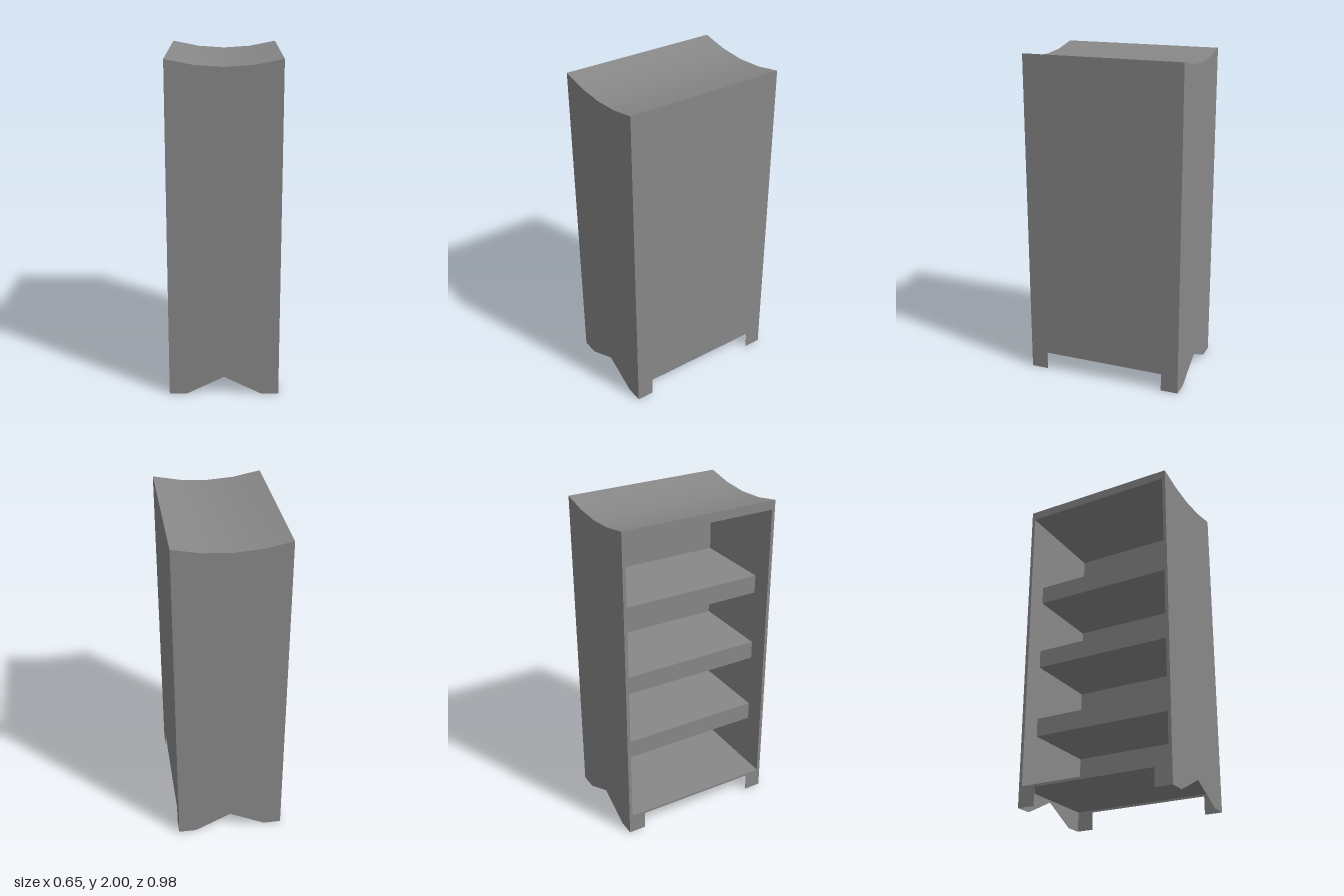
import * as THREE from 'three';
import { toCreasedNormals } from 'three/addons/utils/BufferGeometryUtils.js';

const W = 0.327, D = 0.49;                      // half width, half depth
const SKIN = 0.003, WALL = 0.02;                // thin outer sheet, full wall above the floor
const FLOOR = 0.125, CEIL = 1.945, FOOT = 0.11; // inner floor, inner ceiling, foot height

const material = new THREE.MeshStandardMaterial({ color: 0x888888 });

function add(group, name, geometry) {
  const mesh = new THREE.Mesh(geometry, material);
  mesh.name = name;
  group.add(mesh);
  return mesh;
}

function extrude(points, depth) {
  const shape = new THREE.Shape(points.map(([x, y]) => new THREE.Vector2(x, y)));
  return new THREE.ExtrudeGeometry(shape, { depth, bevelEnabled: false });
}

function box(x0, x1, y0, y1, z0, z1) {
  return new THREE.BoxGeometry(x1 - x0, y1 - y0, z1 - z0)
    .translate((x0 + x1) / 2, (y0 + y1) / 2, (z0 + z1) / 2);
}

// Sagging top line, from +x to -x in four straight segments
function topLine() {
  const points = [];
  for (let i = 0; i <= 4; i++) {
    const u = 1 - i / 2;
    points.push([u * W, 1.957 + 0.043 * u * u]);
  }
  return points;
}

// Long side sheet standing on two feet; its ends butt against the end sheets
function sideGeometry(top) {
  const e = D - SKIN, n = 0.383;
  return extrude([[-e, 0], [-n, 0], [-n, FOOT], [n, FOOT], [n, 0], [e, 0], [e, top], [-e, top]], SKIN)
    .rotateY(-Math.PI / 2);
}

export function createModel() {
  const group = new THREE.Group();
  group.name = 'bookcase';
  const skinX = W - SKIN, skinZ = D - SKIN, inX = W - WALL, inZ = D - WALL;
  const under = FLOOR - SKIN;

  // End sheets with a sagging top and a pointed cut-out between the feet
  const endOutline = [[-W, 0], [-0.22, 0], [0, FOOT], [0.22, 0], [W, 0], ...topLine()];
  add(group, 'frontPanel', extrude(endOutline, SKIN)).position.z = skinZ;
  add(group, 'backPanel', extrude(endOutline, SKIN)).position.z = -D;

  // Closed long side, and the low footed rail under the open side
  add(group, 'closedSide', sideGeometry(CEIL)).position.x = W;
  add(group, 'openSideRail', sideGeometry(FLOOR)).position.x = -skinX;

  // Inner walls, which end flush with the open side
  add(group, 'frontWall', box(-W, skinX, FLOOR, CEIL, inZ, skinZ));
  add(group, 'backWall', box(-W, skinX, FLOOR, CEIL, -skinZ, -inZ));
  add(group, 'closedSideWall', box(inX, skinX, FLOOR, CEIL, -inZ, inZ));

  // Top board: sagging and smooth above, flat below
  const top = extrude([[-W, CEIL], [W, CEIL], ...topLine()], 2 * skinZ);
  add(group, 'topBoard', toCreasedNormals(top, 0.5)).position.z = -skinZ;

  // Floor and three thick shelves set back from the opening
  add(group, 'floor', box(-skinX, skinX, under, FLOOR, -skinZ, skinZ));
  for (let i = 1; i <= 3; i++) {
    const y = FLOOR + i * (CEIL - FLOOR) / 4;
    add(group, 'shelf' + i, box(-0.2, inX, y - 0.113, y, -inZ, inZ));
  }
  return group;
}
